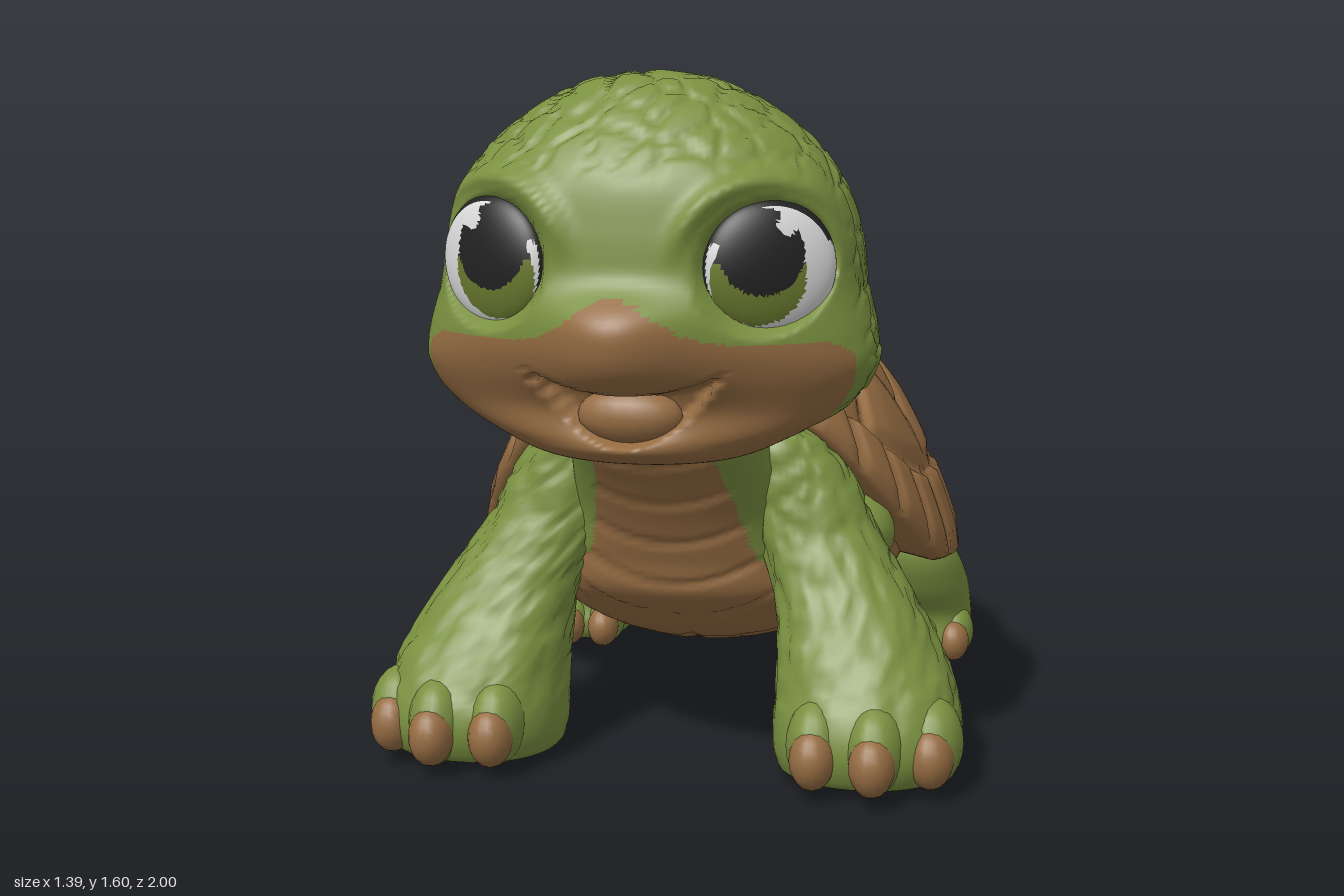
import * as THREE from 'three';

const mat = (name, color, side = THREE.FrontSide) => {
  const m = new THREE.MeshStandardMaterial({ color, side });
  m.name = name;
  return m;
};
const { smoothstep: step } = THREE.MathUtils;
const gauss = (d) => Math.exp(-d * d);
const spow = (v, e) => Math.sign(v) * Math.pow(Math.abs(v), e);

// Smooth interpolation through rows of numbers, v from 0 to 1
function sample(keys, v) {
  const f = v * (keys.length - 1), i = Math.min(Math.floor(f), keys.length - 2), t = f - i;
  const k = (n) => keys[Math.max(0, Math.min(keys.length - 1, n))];
  return keys[0].map((_, c) => {
    const a = k(i - 1)[c], b = k(i)[c], d = k(i + 1)[c], e = k(i + 2)[c];
    return b + 0.5 * t * (d - a + t * (2 * a - 5 * b + 4 * d - e + t * (3 * (b - d) + e - a)));
  });
}

// Closed-around surface; angle 0 faces +z and grows towards +x
function grid(rows, cols, fn) {
  const pos = [], idx = [];
  for (let i = 0; i <= rows; i++)
    for (let j = 0; j < cols; j++) pos.push(...fn(i / rows, (j / cols) * Math.PI * 2));
  for (let i = 0; i < rows; i++)
    for (let j = 0; j < cols; j++) {
      const k = (j + 1) % cols, a = i * cols + j, b = a + cols, c = i * cols + k, d = c + cols;
      idx.push(a, b, c, c, b, d);
    }
  const g = new THREE.BufferGeometry();
  g.setAttribute('position', new THREE.Float32BufferAttribute(pos, 3));
  g.setIndex(idx);
  g.computeVertexNormals();
  return g;
}

// Loft of horizontal rings, top to bottom: [y, centre x, half width, front z, back z]
function loft(keys, rows, cols, reshape = (p) => p, mid = 0.5) {
  return grid(rows, cols, (v, a) => {
    const [y, cx, w, zf, zb] = sample(keys, v), zc = zb + (zf - zb) * mid, e = 2 / 2.2;
    const c = Math.cos(a), x = cx + Math.max(0, w) * spow(Math.sin(a), e);
    return reshape([x, y, zc + spow(c, e) * (c > 0 ? zf - zc : zc - zb)]);
  });
}

// Gap between nearest and second nearest jittered cell centre
function cellGap(x, y, z, size) {
  let d1 = 9, d2 = 9;
  const h = (a, b, c, n) => { const s = Math.sin(a * 127.1 + b * 311.7 + c * 74.7 + n * 53.3) * 4375.85; return s - Math.floor(s); };
  const p = [x / size, y / size, z / size], q = p.map(Math.floor);
  for (let i = -1; i < 2; i++) for (let j = -1; j < 2; j++) for (let k = -1; k < 2; k++) {
    const a = q[0] + i, b = q[1] + j, c = q[2] + k;
    const d = Math.hypot(a + h(a, b, c, 1) - p[0], b + h(a, b, c, 2) - p[1], c + h(a, b, c, 3) - p[2]);
    if (d < d1) { d2 = d1; d1 = d; } else if (d < d2) d2 = d;
  }
  return d2 - d1;
}

// Push vertices along their normals
function emboss(geo, amount) {
  const p = geo.attributes.position, n = geo.attributes.normal;
  for (let i = 0; i < p.count; i++) {
    const x = p.getX(i), y = p.getY(i), z = p.getZ(i), d = amount(x, y, z);
    p.setXYZ(i, x + n.getX(i) * d, y + n.getY(i) * d, z + n.getZ(i) * d);
  }
  geo.computeVertexNormals();
  return geo;
}
const scales = (size, depth, mask) => (x, y, z) =>
  -depth * mask(x, y, z) * (1 - step(cellGap(x, y, z, size), 0, 0.2));

// Sort faces into material groups by their centre
function paint(geo, count, rule) {
  const p = geo.attributes.position, ix = geo.index.array, buckets = Array.from({ length: count }, () => []);
  for (let i = 0; i < ix.length; i += 3) {
    const t = [ix[i], ix[i + 1], ix[i + 2]];
    const mean = (f) => (f(t[0]) + f(t[1]) + f(t[2])) / 3;
    buckets[rule(mean((k) => p.getX(k)), mean((k) => p.getY(k)), mean((k) => p.getZ(k)))].push(...t);
  }
  let start = 0;
  buckets.forEach((b, m) => { geo.addGroup(start, b.length, m); start += b.length; });
  geo.setIndex(buckets.flat());
  return geo;
}

export function createModel() {
  const green = mat('skin green', 0x7a9040), brown = mat('shell brown', 0x966d43);
  const dark = mat('eye black', 0x222222), white = mat('eye white', 0xdcdcdc);
  const iris = mat('iris green', 0x6c7c30);
  const shellBrown = mat('carapace brown', 0x966d43, THREE.DoubleSide);
  const model = new THREE.Group();
  const add = (name, geo, m) => {
    const mesh = new THREE.Mesh(geo, m);
    mesh.name = name;
    model.add(mesh);
    return mesh;
  };
  const ball = (name, m, c, r) => {
    const b = add(name, new THREE.SphereGeometry(1, 18, 12), m);
    b.position.set(...c);
    b.scale.set(...r);
  };

  // Shell: domed scutes, a ring of rim plates and a turned-under edge
  const scutes = [[0, 0.28], [0, 0.06], [0, -0.2], [0, -0.46], [0, -0.69], [0, -0.86]];
  for (const s of [-1, 1]) scutes.push([s * 0.26, -0.46], [s * 0.26, -0.2], [s * 0.25, 0.06], [s * 0.24, -0.72], [s * 0.47, -0.42], [s * 0.48, -0.02]);
  add('shell', grid(72, 182, (v, a) => {
    const c = Math.cos(a), e = c > 0 ? 2 / 2.5 : 1;
    const rx = 0.6 * spow(Math.sin(a), e), rz = -0.25 + (c > 0 ? 0.66 : 0.75) * spow(c, e);
    const rimY = 0.37 + 0.53 * Math.pow(Math.max(0, (rz + 0.4) / 0.81), 3);
    const under = Math.max(0, (v - 0.86) / 0.14), t = under ? 1 - 0.38 * under : v / 0.86;
    const x = rx * t, z = -0.1 + (rz + 0.1) * t;
    if (under) return [x, rimY - 0.03 * Math.min(1, under * 6) + 0.05 * under, z];
    let y = rimY + (1.105 - rimY) * Math.pow(1 - Math.pow(t, 2.2), 0.87);
    let groove = gauss((t - 0.88) / 0.014), pinch = 0.022;
    if (t < 0.88) {
      const d = scutes.map(([sx, sz]) => Math.hypot(x - sx, z - sz)).sort((m, n) => m - n);
      groove = Math.max(groove, 1 - step(d[1] - d[0], 0, 0.035));
      y += 0.02 * step(d[1] - d[0], 0, 0.15);
    } else {
      const k = (a * 26) / (Math.PI * 2);
      groove = Math.max(groove, gauss((k - Math.round(k)) / 0.1));
      pinch = 0.03;
      y += 0.02;
    }
    return [x * (1 - pinch * groove), y - 0.02 * groove, z + (-0.1 - z) * pinch * groove];
  }), shellBrown);

  // Belly with plate grooves
  const belly = grid(44, 64, (v, a) => {
    const s = Math.sin(v * Math.PI);
    return [0.49 * s * Math.sin(a), 0.48 + 0.305 * Math.cos(v * Math.PI), -0.12 + 0.55 * s * Math.cos(a)];
  });
  add('belly', emboss(belly, (x, y, z) =>
    y < 0.46 ? -0.008 * Math.max(gauss(Math.sin(z * 18 + x * x * 8) / 0.2), gauss(x / 0.012)) : 0), brown);

  // Neck with a banded brown throat
  const neck = loft([
    [1.0, 0, 0.28, 0.62, 0.28], [0.88, 0, 0.27, 0.64, 0.27], [0.78, 0, 0.23, 0.65, 0.22], [0.68, 0, 0.24, 0.57, 0.15],
    [0.58, 0, 0.25, 0.5, 0.1], [0.48, 0, 0.27, 0.45, 0.1], [0.38, 0, 0.28, 0.41, 0.1], [0.28, 0, 0.2, 0.28, 0.1],
  ], 64, 80);
  const throat = (x, y, z) => z > 0.2 && (y < 0.48 || Math.abs(x) < 0.135 + Math.max(0, 0.75 - y) * 0.22);
  emboss(neck, (x, y, z) => throat(x, y, z) ? -0.008 * gauss(Math.sin((y - x * x * 1.5) * 30) / 0.25) : 0);
  add('neck', paint(neck, 2, (x, y, z) => (throat(x, y, z) ? 1 : 0)), [green, brown]);
  ball('neckGap', dark, [0, 0.975, 0.265], [0.21, 0.045, 0.05]);

  // Head: skull and cheeks, with muzzle, mouth, sockets and brows shaped by rule
  const inMouth = (x, y) => Math.abs(x) < 0.22
    ? Math.min(0.945 + 1.1 * x * x - y, y - 0.82 - 3.7 * x * x) : -1;
  const eyeDist = (x, y) => Math.hypot((Math.abs(x) - 0.295) / 0.135, (y - 1.205) / 0.14);
  const head = loft([
    [1.605, 0, 0, 0.57, 0.57], [1.58, 0, 0.15, 0.69, 0.44], [1.5, 0, 0.295, 0.79, 0.29], [1.4, 0, 0.395, 0.87, 0.22],
    [1.28, 0, 0.45, 0.9, 0.182], [1.15, 0, 0.47, 0.91, 0.18], [1.05, 0, 0.495, 0.91, 0.21], [0.98, 0, 0.5, 0.885, 0.27],
    [0.9, 0, 0.45, 0.845, 0.35], [0.83, 0, 0.33, 0.845, 0.42], [0.78, 0, 0.2, 0.8, 0.5], [0.765, 0, 0, 0.65, 0.65],
  ], 112, 176, ([x, y, z]) => {
    if (z < 0.62) return [x, y, z];
    const m = step(inMouth(x, y), 0, 0.02), d = eyeDist(x, y), f = step(z, 0.62, 0.72);
    const muzzle = 0.094 * gauss(x / 0.15) * Math.exp(-Math.pow((y - 1.04) / 0.11, 4)) * (1 - m);
    const lip = 0.035 * gauss(x / 0.12) * gauss((y - 0.815) / 0.03) * (1 - m);
    const brow = 0.03 * gauss((d - 1.3) / 0.17) * step(y, 1.2, 1.32);
    return [x, y, z + f * (muzzle + lip + brow - 0.045 * m - 0.05 * (1 - step(d, 0.82, 1.03)))];
  }, 0.55);
  emboss(head, scales(0.09, 0.008, (x, y, z) => Math.max(1 - step(z, 0.6, 0.72), step(y, 1.36, 1.44))));
  add('head', paint(head, 2, (x, y, z) => {
    const top = 1.05 + 0.1 * gauss(x / 0.12) - 0.6 * Math.max(0, Math.abs(x) - 0.42);
    return y < top && z > 0.68 + 0.25 * (y - 0.82) ? 1 : 0;
  }), [green, brown]);
  ball('tongue', brown, [0, 0.885, 0.805], [0.115, 0.062, 0.06]);

  for (const s of [-1, 1]) {
    const side = s > 0 ? 'left' : 'right';

    // Eye: upper rim, white, iris, pupil and highlight as face groups
    const eye = new THREE.SphereGeometry(1, 60, 48).rotateX(Math.PI / 2).scale(0.146, 0.142, 0.055);
    paint(eye, 3, (x, y) => {
      const lx = x * s, r = Math.hypot(lx / 0.146, y / 0.142);
      if (r > 0.97 || (r > 0.9 && y > 0.05)) return 1;
      if (Math.hypot(lx - 0.025, y - 0.09) < 0.022) return 0;
      if (Math.hypot(lx + 0.03, y - 0.035) < 0.09) return 1;
      return Math.hypot(lx + 0.035, y + 0.018) < 0.1 ? (y < 0.01 ? 2 : 1) : 0;
    });
    const eyeMesh = add(side + 'Eye', eye, [white, dark, iris]);
    eyeMesh.position.set(s * 0.295, 1.205, 0.792);
    eyeMesh.rotation.y = s * 0.5;

    // Front leg: shoulder down to broad foot, with armpit skin
    const front = [
      [0.84, 0.2, 0, 0.32, 0.32], [0.77, 0.22, 0.1, 0.41, 0.22], [0.66, 0.27, 0.14, 0.43, 0.18], [0.55, 0.32, 0.145, 0.45, 0.19],
      [0.4, 0.4, 0.165, 0.52, 0.22], [0.25, 0.45, 0.2, 0.62, 0.21], [0.14, 0.465, 0.215, 0.67, 0.22], [0.06, 0.465, 0.21, 0.66, 0.24],
      [0.02, 0.46, 0.17, 0.61, 0.28], [0.015, 0.46, 0, 0.45, 0.45],
    ].map(([y, x, ...r]) => [y, x * s, ...r]);
    add(side + 'FrontLeg', emboss(loft(front, 60, 64), scales(0.085, 0.009, (x, y) => step(y, 0.1, 0.25))), green);
    ball(side + 'Armpit', green, [s * 0.37, 0.51, 0.18], [0.12, 0.1, 0.13]);
    ball(side + 'ShoulderGap', dark, [s * 0.235, 0.785, 0.4], [0.03, 0.02, 0.03]);

    // Rear leg and the dark gap above it
    const rear = [
      [0.46, 0.34, 0, -0.5, -0.5], [0.42, 0.36, 0.11, -0.38, -0.62], [0.32, 0.42, 0.14, -0.345, -0.65], [0.22, 0.45, 0.145, -0.38, -0.74],
      [0.13, 0.465, 0.14, -0.44, -0.77], [0.06, 0.47, 0.135, -0.43, -0.755], [0.015, 0.465, 0.1, -0.46, -0.7], [0.01, 0.46, 0, -0.57, -0.57],
    ].map(([y, x, ...r]) => [y, x * s, ...r]);
    add(side + 'RearLeg', loft(rear, 36, 44), green);
    ball(side + 'HipGap', dark, [s * 0.43, 0.355, -0.48], [0.13, 0.018, 0.12]);

    // Toes and claws
    for (const [x, z] of [[0.37, 0.645], [0.505, 0.665], [0.625, 0.585]]) {
      ball(side + 'FrontToe', green, [s * x, 0.12, z - 0.05], [0.068, 0.1, 0.09]);
      ball(side + 'FrontClaw', brown, [s * x, 0.1, z + 0.006], [0.052, 0.07, 0.062]);
    }
    for (const [x, z] of [[0.39, -0.43], [0.485, -0.425], [0.57, -0.49]]) {
      ball(side + 'RearToe', green, [s * x, 0.075, z - 0.05], [0.05, 0.07, 0.07]);
      ball(side + 'RearClaw', brown, [s * x, 0.06, z], [0.042, 0.054, 0.05]);
    }
  }

  // Tail tapering backwards
  add('tail', grid(20, 24, (v, a) => {
    const [z, y, w, h] = sample([[-0.99, 0.285, 0, 0], [-0.965, 0.285, 0.035, 0.028], [-0.85, 0.305, 0.075, 0.052], [-0.7, 0.34, 0.11, 0.07], [-0.55, 0.38, 0.13, 0.1]], v);
    return [w * Math.sin(a), y + h * Math.cos(a), z];
  }), brown);
  return model;
}
